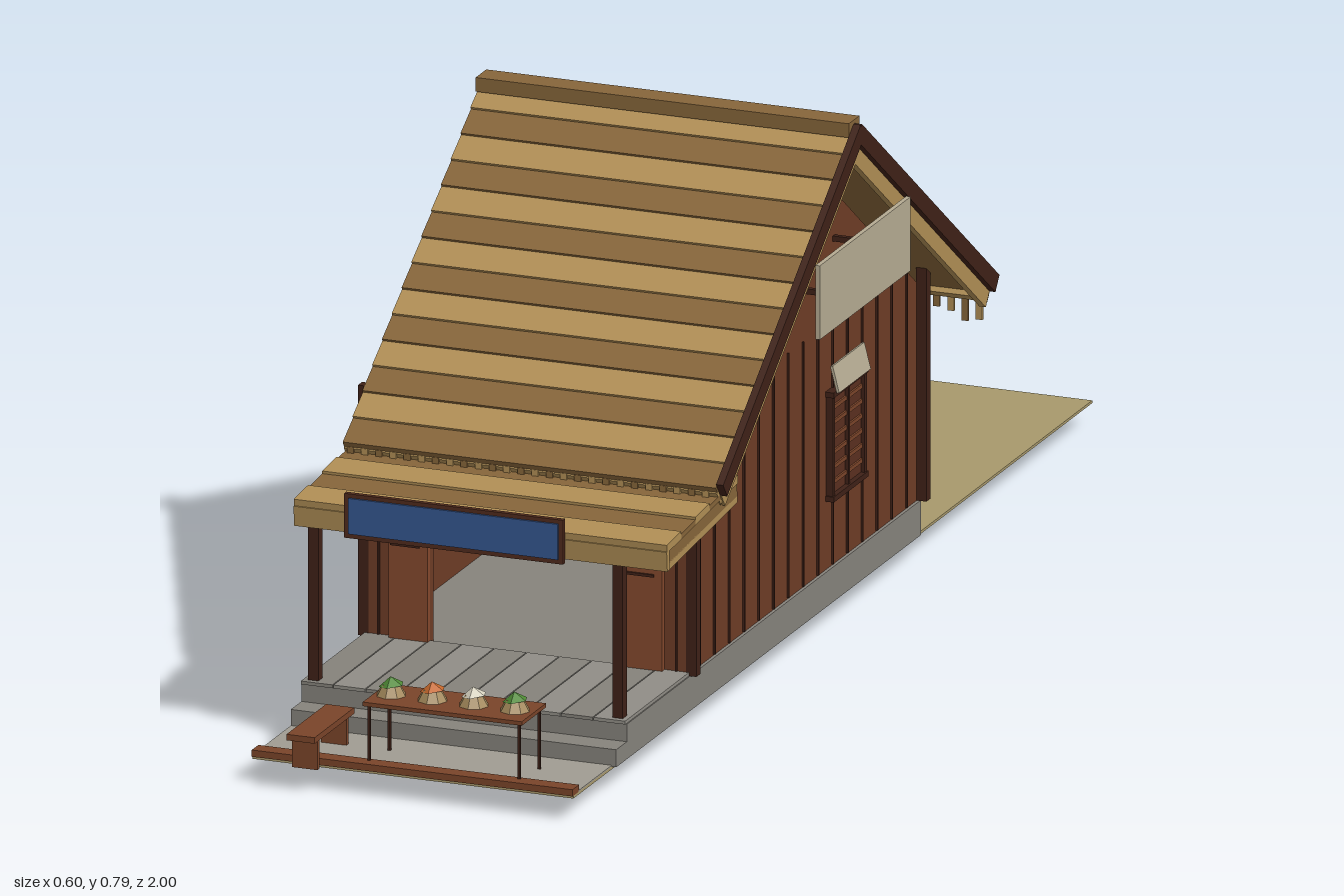
import * as THREE from 'three';

const mats = {};
const mat = (c, double = false) => mats[c + '/' + double] ??= new THREE.MeshStandardMaterial({
  color: c, flatShading: true, side: double ? THREE.DoubleSide : THREE.FrontSide });

const WALL = 0x6e3c26, DARK = 0x3f2117, BROWN = 0x7a4429, TAN = 0xb08e55, TAN_DARK = 0x86653a,
  STONE = 0x86837c, SAND = 0xa8996c, PALE = 0xb5ab92, GREEN = 0x4f8a35;

function add(parent, name, geo, color, x = 0, y = 0, z = 0, double = false) {
  const m = new THREE.Mesh(geo, mat(color, double));
  m.name = name;
  m.position.set(x, y, z);
  parent.add(m);
  return m;
}
// Box given by its min and max along each axis
const box = (p, name, c, x0, x1, y0, y1, z0, z1) => add(p, name,
  new THREE.BoxGeometry(x1 - x0, y1 - y0, z1 - z0), c, (x0 + x1) / 2, (y0 + y1) / 2, (z0 + z1) / 2);

function group(parent, name, x = 0, y = 0, z = 0) {
  const g = new THREE.Group();
  g.name = name;
  g.position.set(x, y, z);
  parent.add(g);
  return g;
}

function buildBase(root) {
  const g = group(root, 'base');
  box(g, 'ground', SAND, -0.29, 0.2, 0.038, 0.042, -1, 0.965);
  box(g, 'frontApron', 0xa09c92, -0.29, 0.2, 0.042, 0.044, 0.8, 0.945);
  box(g, 'frontKerb', BROWN, -0.29, 0.2, 0.042, 0.052, 0.943, 0.968);
  box(g, 'foundation', STONE, -0.29, 0.207, 0.042, 0.094, -0.335, 0.78);
  box(g, 'step', STONE, -0.29, 0.207, 0.042, 0.068, 0.78, 0.82);
  for (let i = 0; i < 10; i++) {
    const x = -0.29 + i * 0.0497;
    box(g, 'deckBoard', i % 2 ? 0x908d86 : 0x85827b, x, x + 0.048, 0.094, 0.099, 0.54, 0.782);
  }
}

function buildWalls(root) {
  const g = group(root, 'walls');
  // Gabled side wall, drawn in (-z, y) and turned to face +x
  const s = new THREE.Shape([[-0.54, 0.094], [0.335, 0.094], [0.335, 0.415], [-0.1, 0.735], [-0.54, 0.415]]
    .map(p => new THREE.Vector2(...p)));
  const gable = add(g, 'gableWall', new THREE.ExtrudeGeometry(s, { depth: 0.012, bevelEnabled: false }), WALL, 0.19);
  gable.rotation.y = Math.PI / 2;
  box(g, 'plainSideWall', WALL, -0.288, -0.276, 0.094, 0.41, -0.335, 0.54);
  box(g, 'backWall', WALL, -0.288, 0.2, 0.094, 0.41, -0.335, -0.323);
  box(g, 'ceiling', BROWN, -0.284, 0.19, 0.398, 0.408, -0.33, 0.535);
  // Front wall around the opening
  box(g, 'frontWall', WALL, -0.288, -0.19, 0.094, 0.41, 0.528, 0.54);
  box(g, 'frontWall', WALL, 0.11, 0.2, 0.094, 0.41, 0.528, 0.54);
  box(g, 'doorHeader', WALL, -0.19, 0.11, 0.345, 0.41, 0.528, 0.54);
  // Slid-open front door leaves
  for (const [x0, x1] of [[-0.25, -0.19], [0.11, 0.168]]) {
    box(g, 'frontDoor', 0x84492d, x0, x1, 0.099, 0.345, 0.54, 0.55);
    box(g, 'doorRail', DARK, x0 + 0.004, x1 - 0.012, 0.238, 0.242, 0.55, 0.553);
  }
  // Battens
  for (let z = -0.29; z < 0.52; z += 0.056)
    box(g, 'sideBatten', DARK, 0.202, 0.205, 0.096, 0.41 + 0.05, z, z + 0.003);
  for (let x = -0.25; x < 0.18; x += 0.052)
    box(g, 'backBatten', DARK, x, x + 0.003, 0.096, 0.4, -0.338, -0.335);
  for (const x of [-0.27, 0.185]) box(g, 'frontBatten', DARK, x, x + 0.003, 0.096, 0.4, 0.54, 0.543);
  // Corner posts
  for (const x of [-0.292, 0.209]) for (const z of [-0.338, 0.533])
    box(g, 'cornerPost', DARK, x - 0.008, x + 0.008, 0.094, 0.466, z - 0.008, z + 0.008);
}

// Shuttered opening facing +z in its own frame
function buildOpening(root, name, w, h, slats) {
  const g = group(root, name);
  box(g, 'panel', 0x5a2f1f, -w / 2, w / 2, 0, h, 0, 0.005);
  for (const s of [-1, 1]) box(g, 'jamb', DARK, s * w / 2 - 0.004, s * w / 2 + 0.004, 0, h, 0, 0.011);
  for (const y of [0, h]) box(g, 'rail', DARK, -w / 2 - 0.006, w / 2 + 0.006, y - 0.004, y + 0.004, 0, 0.013);
  box(g, 'mullion', DARK, -0.003, 0.003, 0, h, 0, 0.01);
  for (let i = 1; i <= slats; i++) {
    const y = h * i / (slats + 1);
    box(g, 'slat', BROWN, -w / 2, w / 2, y - 0.003, y + 0.003, 0, 0.008);
  }
  const awning = box(g, 'awning', PALE, -w / 2, w / 2, h + 0.002, h + 0.042, 0.01, 0.014);
  awning.rotation.x = -0.25;
  return g;
}

function fringe(parent, z, y) {
  for (let i = 0; i < 26; i++) {
    const x = -0.28 + i * 0.0217, len = 0.035 + 0.025 * Math.abs(Math.sin(i * 2.3));
    box(parent, 'eaveFringe', i % 2 ? TAN : TAN_DARK, x - 0.005, x + 0.005, y - len, y, z - 0.002, z + 0.002);
  }
}

function buildRoof(root) {
  const g = group(root, 'roof');
  const L = 0.645, n = 14, step = L / n, angle = Math.atan2(0.38, 0.52);
  for (const s of [1, -1]) {
    const slope = group(g, s > 0 ? 'frontSlope' : 'backSlope', 0, 0.79, 0.1);
    slope.rotation.x = s * angle;
    const zBox = (name, c, x0, x1, y0, y1, a, b) =>
      box(slope, name, c, x0, x1, y0, y1, Math.min(s * a, s * b), Math.max(s * a, s * b));
    zBox('roofDeck', TAN_DARK, -0.286, 0.278, -0.028, -0.01, 0, L);
    // Overlapping courses
    for (let i = 0; i < n; i++) {
      const c = zBox('roofCourse', i % 2 ? TAN_DARK : TAN, -0.29, 0.28, -0.011, -0.002, i * step, (i + 1) * step + 0.004);
      c.rotation.x = -s * 0.08;
    }
    zBox('bargeBoard', DARK, 0.28, 0.291, -0.022, 0.004, 0, L);
    for (const x of [-0.288, 0.272]) zBox('vergeRafter', TAN, x, x + 0.01, -0.046, -0.022, 0.03, L);
    zBox('eaveBeam', TAN, -0.29, 0.28, -0.036, -0.01, L - 0.012, L + 0.006);
    fringe(g, 0.1 + s * 0.518, 0.4);
  }
  box(g, 'ridgeCap', TAN_DARK, -0.29, 0.28, 0.778, 0.799, 0.08, 0.12);
  // Board hung in front of the gable
  box(g, 'gableBoard', PALE, 0.29, 0.297, 0.525, 0.635, -0.072, 0.272);
  for (const z of [-0.02, 0.22]) box(g, 'boardBracket', DARK, 0.2, 0.29, 0.575, 0.583, z, z + 0.008);
}

function buildPorch(root) {
  const g = group(root, 'porch');
  for (const x of [-0.275, 0.19])
    box(g, 'porchPost', DARK, x - 0.008, x + 0.008, 0.094, 0.352, 0.757, 0.773);
  box(g, 'porchBeam', DARK, -0.285, 0.27, 0.343, 0.355, 0.758, 0.772);
  // Gently sloped canopy
  const canopy = group(g, 'canopy', 0, 0.402, 0.54);
  canopy.rotation.x = 0.09;
  box(canopy, 'canopyDeck', TAN_DARK, -0.288, 0.278, -0.032, -0.012, 0, 0.268);
  for (let i = 0; i < 5; i++)
    box(canopy, 'canopyCourse', i % 2 ? TAN_DARK : TAN, -0.29, 0.28, -0.012, i % 2 ? -0.004 : 0, i * 0.054, (i + 1) * 0.054);
  box(canopy, 'canopyFascia', TAN, -0.29, 0.28, -0.04, -0.01, 0.262, 0.272);
  for (const x of [-0.288, -0.01, 0.268]) box(canopy, 'canopyRafter', TAN, x, x + 0.01, -0.042, -0.03, 0, 0.266);
  // Framed blue board
  box(g, 'boardFrame', 0x4f2a1c, -0.208, 0.126, 0.334, 0.4, 0.813, 0.821);
  box(g, 'blueBoard', 0x34568f, -0.201, 0.119, 0.341, 0.394, 0.82, 0.824);
}

function buildStall(root) {
  const g = group(root, 'stall');
  box(g, 'tableTop', BROWN, -0.125, 0.118, 0.134, 0.14, 0.865, 0.957);
  for (const x of [-0.118, 0.111]) for (const z of [0.873, 0.949])
    box(g, 'tableLeg', DARK, x - 0.002, x + 0.002, 0.044, 0.134, z - 0.002, z + 0.002);
  // Baskets with produce
  [[-0.1, GREEN], [-0.037, 0xc8692c], [0.026, 0xd8d3c0], [0.089, GREEN]].forEach(([x, c]) => {
    add(g, 'basket', new THREE.CylinderGeometry(0.013, 0.022, 0.016, 8), 0xa58a5c, x, 0.148, 0.911);
    const heap = add(g, 'produce', new THREE.ConeGeometry(0.019, 0.013, 5), c, x, 0.161, 0.911);
    heap.rotation.z = 0.15;
  });
  // Bench
  box(g, 'benchSeat', BROWN, -0.224, -0.181, 0.084, 0.093, 0.85, 1);
  for (const z of [0.866, 0.976]) box(g, 'benchLeg', BROWN, -0.222, -0.183, 0.04, 0.084, z, z + 0.009);
}

function buildYard(root) {
  const urn = [[0, 0], [0.024, 0], [0.041, 0.028], [0.041, 0.058], [0.025, 0.086], [0, 0.086]];
  add(root, 'urn', new THREE.LatheGeometry(urn.map(p => new THREE.Vector2(...p)), 8), BROWN, 0.07, 0.042, -0.525, true);
  const g = group(root, 'pottedPlant', -0.118, 0.042, -0.745);
  add(g, 'pot', new THREE.CylinderGeometry(0.027, 0.02, 0.036, 8), BROWN, 0, 0.022, 0);
  add(g, 'potRim', new THREE.CylinderGeometry(0.03, 0.03, 0.01, 8), DARK, 0, 0.039, 0);
  // Drooping leaves
  for (let i = 0; i < 9; i++) {
    const a = i * Math.PI * 2 / 9, r = 0.035 + (i % 2) * 0.007;
    const leaf = add(g, 'leaf', new THREE.ConeGeometry(0.005, 0.048, 4), i % 2 ? GREEN : 0x376b2b,
      Math.cos(a) * r * 0.55, -0.019, Math.sin(a) * r * 0.55);
    leaf.quaternion.setFromUnitVectors(new THREE.Vector3(0, 1, 0),
      new THREE.Vector3(Math.cos(a) * r, -0.04, Math.sin(a) * r).normalize());
  }
}

export function createModel() {
  const root = new THREE.Group();
  root.name = 'house';
  buildBase(root);
  buildWalls(root);
  const win = buildOpening(root, 'sideWindow', 0.12, 0.155, 6);
  win.position.set(0.202, 0.2, -0.05);
  win.rotation.y = Math.PI / 2;
  const door = buildOpening(root, 'backDoor', 0.13, 0.205, 1);
  door.position.set(-0.06, 0.1, -0.335);
  door.rotation.y = Math.PI;
  buildRoof(root);
  buildPorch(root);
  buildStall(root);
  buildYard(root);
  return root;
}
